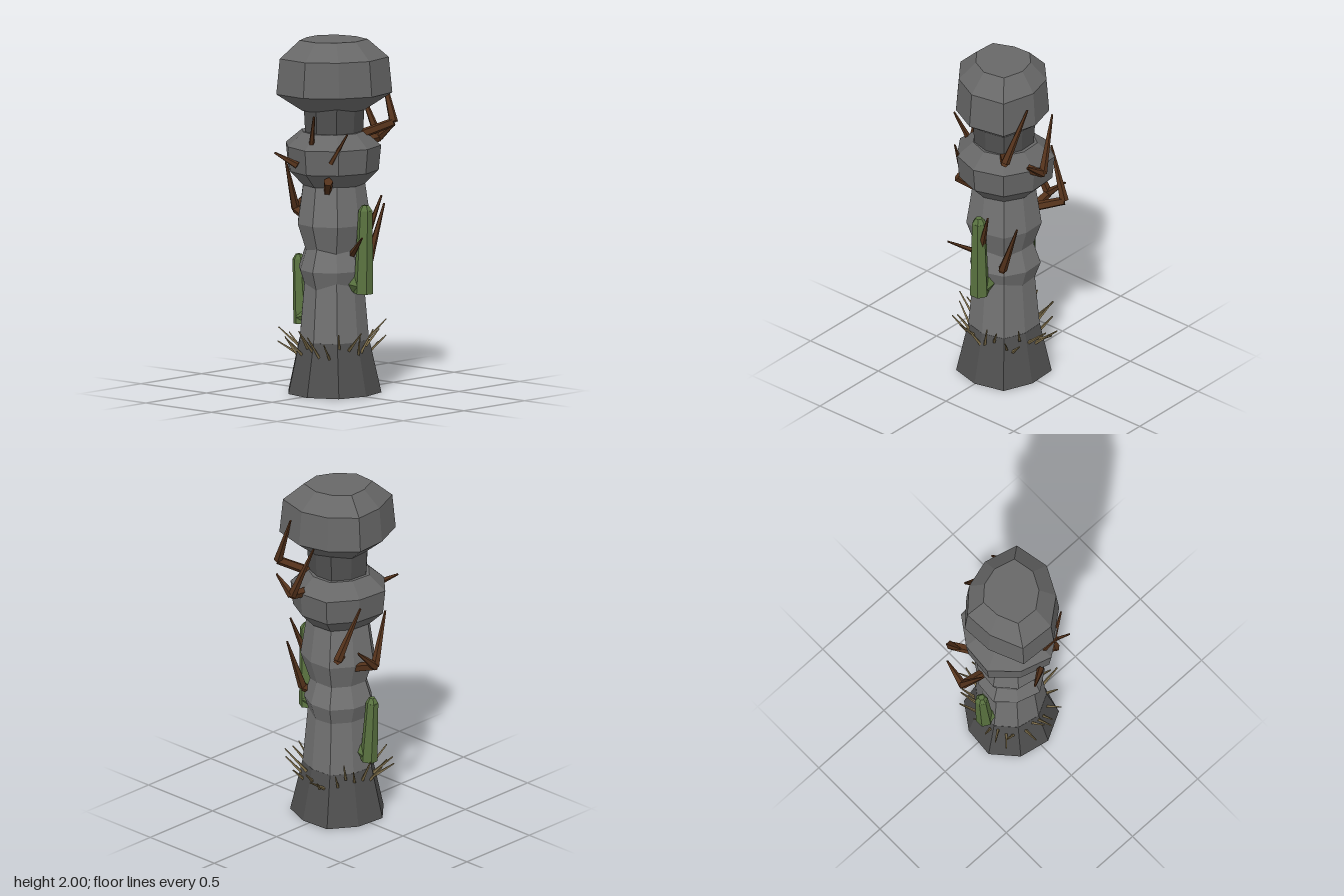
import * as THREE from 'three';

const mat = (color) => new THREE.MeshStandardMaterial({ color, flatShading: true, roughness: 1 });
const SIDES = 9;

// Small seeded generator for irregular stone and grass
function seeded(seed) {
  let s = seed;
  return () => (s = (s * 16807) % 2147483647) / 2147483647;
}

// Nine-sided stone: rings of [height, radius], with one radius factor per side
function stone(name, rings, factors, material) {
  const pos = [];
  const idx = [];
  rings.forEach(([y, r]) => {
    for (let k = 0; k < SIDES; k++) {
      const a = (k / SIDES) * Math.PI * 2;
      pos.push(Math.cos(a) * r * factors[k], y, Math.sin(a) * r * factors[k]);
    }
  });
  const last = (rings.length - 1) * SIDES;
  const bottom = rings.length * SIDES;
  pos.push(0, rings[0][0], 0, 0, rings[rings.length - 1][0], 0);
  for (let k = 0; k < SIDES; k++) {
    const n = (k + 1) % SIDES;
    for (let o = 0; o < last; o += SIDES) {
      idx.push(o + k, o + SIDES + k, o + n, o + n, o + SIDES + k, o + SIDES + n);
    }
    idx.push(bottom, k, n, bottom + 1, last + n, last + k);
  }
  const g = new THREE.BufferGeometry();
  g.setAttribute('position', new THREE.Float32BufferAttribute(pos, 3));
  g.setIndex(idx);
  const flat = g.toNonIndexed();
  flat.computeVertexNormals();
  const mesh = new THREE.Mesh(flat, material);
  mesh.name = name;
  return mesh;
}

// Tapered limb between two points
function limb(name, from, to, r0, r1, material, sides = 5) {
  const a = new THREE.Vector3(...from);
  const b = new THREE.Vector3(...to);
  const dir = b.clone().sub(a);
  const mesh = new THREE.Mesh(new THREE.CylinderGeometry(r1, r0, dir.length(), sides), material);
  mesh.position.copy(a).add(b).multiplyScalar(0.5);
  mesh.quaternion.setFromUnitVectors(new THREE.Vector3(0, 1, 0), dir.normalize());
  mesh.name = name;
  return mesh;
}

// Cactus: a foot leaving the stone, a ribbed upright stem and a pointed cap
function cactus(name, root, elbow, top, r) {
  const group = new THREE.Group();
  group.name = name;
  const green = mat(0x5a7340);
  const tip = [top[0], top[1] - 0.03, top[2]];
  const low = [elbow[0], elbow[1] - r * 0.8, elbow[2]];
  group.add(
    limb('cactusFoot', root, elbow, r * 0.8, r, green, 6),
    limb('cactusStem', low, tip, r, r * 0.72, green, 6),
    limb('cactusCap', tip, top, r * 0.72, r * 0.35, green, 6)
  );
  return group;
}

export function createModel() {
  const model = new THREE.Group();
  const light = mat(0x727272);
  const mid = mat(0x686868);
  const dark = mat(0x505050);
  const brown = mat(0x54321b);
  const straw = mat(0x80704c);

  // Stacked stones of the pillar
  const colF = [0.98, 1.05, 1.02, 1, 1.03, 0.97, 1.04, 0.95, 1.05];
  const headF = [1, 0.92, 1.02, 1.11, 0.89, 0.93, 0.86, 0.92, 1.12];
  const collarF = [0.97, 0.98, 1.05, 0.96, 1.04, 0.98, 1.05, 0.97, 0.99];
  model.add(
    stone('base', [[0, 0.26], [0.3, 0.195]], colF, dark),
    stone('lowerColumn', [[0.3, 0.194], [0.66, 0.163]], colF, light),
    stone('lowerBulge', [[0.54, 0.145], [0.7, 0.198], [0.88, 0.14]], collarF, light),
    stone('upperBulge', [[0.76, 0.14], [0.96, 0.205], [1.24, 0.165]], colF, light),
    stone('collar', [[1.18, 0.18], [1.26, 0.26], [1.4, 0.274], [1.48, 0.18]], collarF, mid),
    stone('neck', [[1.44, 0.16], [1.63, 0.17]], colF, dark),
    stone('head', [[1.6, 0.16], [1.7, 0.298], [1.9, 0.28], [2, 0.175]], headF, mid)
  );

  // Moss patch under the base
  const moss = new THREE.Mesh(new THREE.CircleGeometry(0.09, 8), mat(0x3c4a26));
  moss.rotation.x = Math.PI / 2;
  moss.position.y = -0.002;
  moss.name = 'moss';
  model.add(moss);

  // Cacti on both sides
  model.add(
    cactus('leftCactus', [0.13, 0.63, -0.01], [0.225, 0.625, -0.01], [0.235, 1.08, -0.015], 0.056),
    cactus('rightCactus', [-0.14, 0.42, 0.02], [-0.215, 0.41, 0.02], [-0.24, 0.76, 0.02], 0.05)
  );

  // Bent branches: root, elbow, then one or more tips
  const branches = [
    [[0.12, 1.46, -0.1], [0.255, 1.53, -0.225], [0.115, 1.83, -0.27]],
    [[0.05, 1.4, -0.22], [0.05, 1.41, -0.325], [-0.08, 1.72, -0.285], [0.175, 1.5, -0.32]],
    [[-0.13, 1.03, -0.12], [-0.23, 1.07, -0.245], [-0.275, 1.36, -0.11]],
    [[-0.17, 0.94, -0.03], [-0.325, 1, -0.045], [-0.285, 1.29, 0.08], [-0.32, 1.12, -0.175]],
    [[0.1, 0.72, -0.08], [0.16, 0.75, -0.125], [0.17, 1.06, -0.24]]
  ];
  branches.forEach(([root, elbow, ...tips]) => {
    model.add(limb('branch', root, elbow, 0.028, 0.025, brown));
    tips.forEach((tip) => model.add(limb('branchTip', elbow, tip, 0.026, 0.006, brown)));
  });

  // Straight thorns: start, tip, thickness at the start and tip
  const thorns = [
    [[0.16, 1.33, 0.19], [0.25, 1.5, 0.15], 0.016, 0.005],
    [[0.04, 1.41, 0.22], [0.11, 1.6, 0.275], 0.018, 0.006],
    [[-0.02, 1.31, 0.27], [-0.13, 1.38, 0.34], 0.022, 0.006],
    [[0.08, 1.15, 0.13], [0.16, 1.23, 0.21], 0.022, 0.028],
    [[0.16, 0.8, 0.01], [0.34, 0.92, 0.125], 0.02, 0.005],
    [[0.23, 0.9, -0.03], [0.27, 1.13, -0.11], 0.022, 0.006]
  ];
  thorns.forEach(([a, b, r0, r1]) => model.add(limb('thorn', a, b, r0, r1, brown)));

  // Dry grass leaning outward around the base
  const rnd = seeded(7);
  const blades = 24;
  for (let i = 0; i < blades; i++) {
    const a = ((i + rnd() * 0.6) / blades) * Math.PI * 2;
    const b = a + (rnd() - 0.5) * 0.5;
    const y = 0.2 + rnd() * 0.08;
    const r = 0.25 + rnd() * 0.065;
    model.add(limb('grass',
      [Math.cos(a) * 0.195, y, Math.sin(a) * 0.195],
      [Math.cos(b) * r, y + 0.07 + rnd() * 0.07, Math.sin(b) * r], 0.01, 0.004, straw, 4));
  }
  return model;
}
